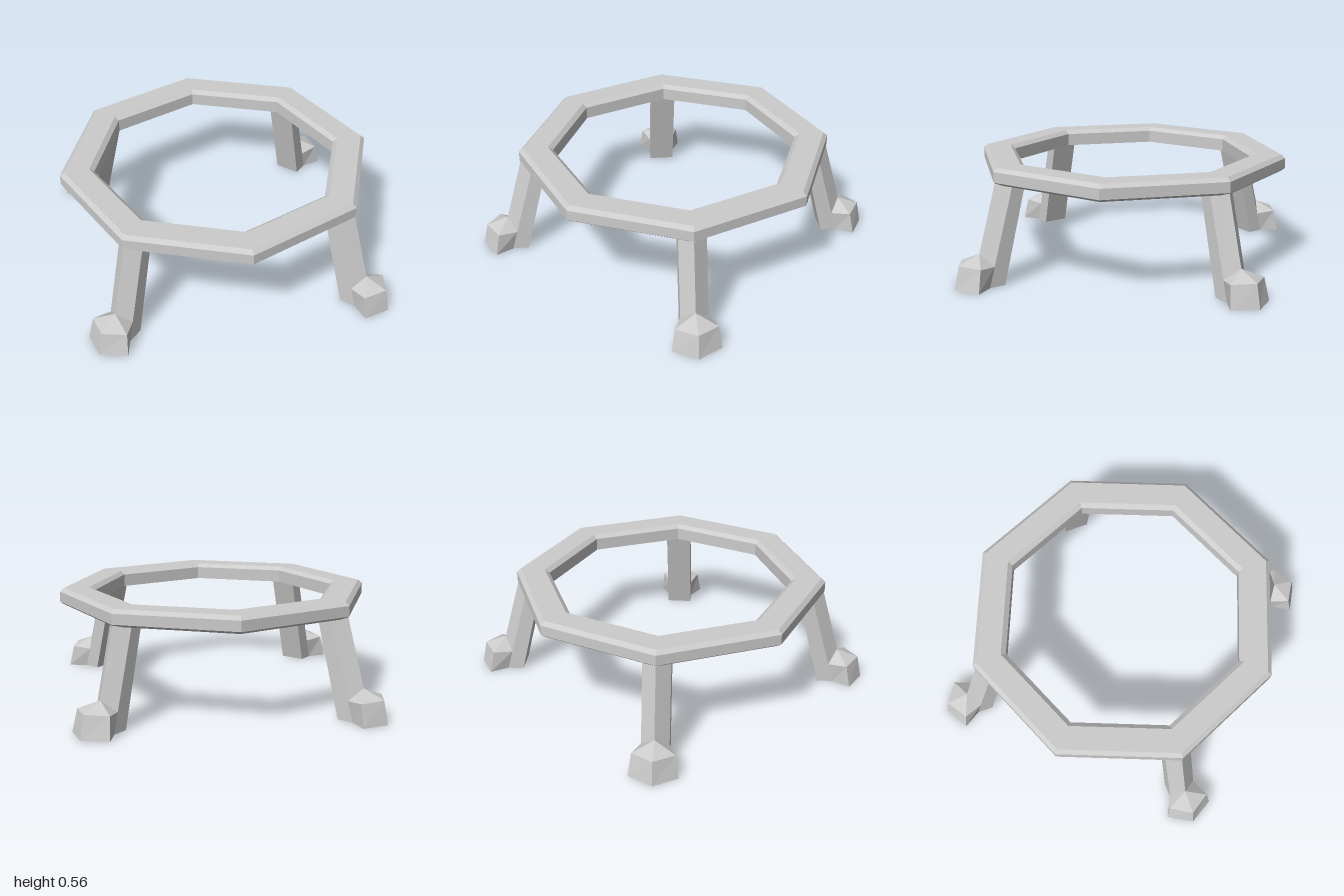
import * as THREE from 'three';

const material = new THREE.MeshStandardMaterial({ color: 0xcccccc, flatShading: true });

// Octagonal rim with chamfered top edges, corners on the axes
function createRim() {
  const profile = [
    [0.61, 0.474], [0.762, 0.474], [0.778, 0.486], [0.778, 0.537], [0.757, 0.555],
    [0.634, 0.555], [0.61, 0.537], [0.61, 0.474],
  ].map(([r, y]) => new THREE.Vector2(r, y));
  const rim = new THREE.Mesh(new THREE.LatheGeometry(profile, 8), material);
  rim.name = 'rim';
  return rim;
}

// One ring of a leg: inner edge, shoulder, foot corner (half width, y, z) and the tip (y, z)
function ring(inner, shoulder, corner, tip) {
  const side = [inner, shoulder, corner];
  const right = side.map(([x, y, z]) => new THREE.Vector3(x, y, z));
  const left = side.map(([x, y, z]) => new THREE.Vector3(-x, y, z));
  return [left[0], ...right, new THREE.Vector3(0, ...tip), left[2], left[1]];
}

// Splayed leg with an outer ridge, spreading into a pointed foot
function createLegGeometry() {
  const neckInner = [0.065, 0.1, 0.745];
  const neckShoulder = [0.065, 0.1, 0.822];
  const rings = [
    ring([0.065, 0.48, 0.648], [0.065, 0.48, 0.715], [0, 0.48, 0.775], [0.48, 0.775]),
    ring(neckInner, neckShoulder, [0, 0.155, 0.867], [0.155, 0.867]),
    ring(neckInner, neckShoulder, [0.1, 0.11, 0.912], [0.115, 0.975]),
    ring([0.065, 0, 0.77], [0.065, 0, 0.85], [0.115, 0, 0.933], [0, 1]),
  ];
  const positions = [];
  const triangle = (a, b, c) => {
    if (new THREE.Triangle(a, b, c).getArea() < 1e-7) return;
    for (const p of [a, b, c]) positions.push(p.x, p.y, p.z);
  };
  const sole = new THREE.Vector3(0, 0, 0.87);
  const crown = new THREE.Vector3(0, 0.48, 0.71);
  for (let i = 0; i < 7; i++) {
    const j = (i + 1) % 7;
    for (let k = 0; k < 3; k++) {
      const a = rings[k], b = rings[k + 1];
      triangle(a[i], a[j], b[j]);
      triangle(a[i], b[j], b[i]);
    }
    triangle(rings[3][i], rings[3][j], sole);
    triangle(rings[0][j], rings[0][i], crown);
  }
  const geometry = new THREE.BufferGeometry();
  geometry.setAttribute('position', new THREE.Float32BufferAttribute(positions, 3));
  geometry.computeVertexNormals();
  return geometry;
}

export function createModel() {
  const model = new THREE.Group();
  model.name = 'ringStand';
  model.add(createRim());

  // Four legs, one under every second corner of the rim
  const legGeometry = createLegGeometry();
  ['frontLeg', 'leftLeg', 'backLeg', 'rightLeg'].forEach((name, i) => {
    const leg = new THREE.Mesh(legGeometry, material);
    leg.name = name;
    leg.rotation.y = (i * Math.PI) / 2;
    model.add(leg);
  });
  return model;
}
